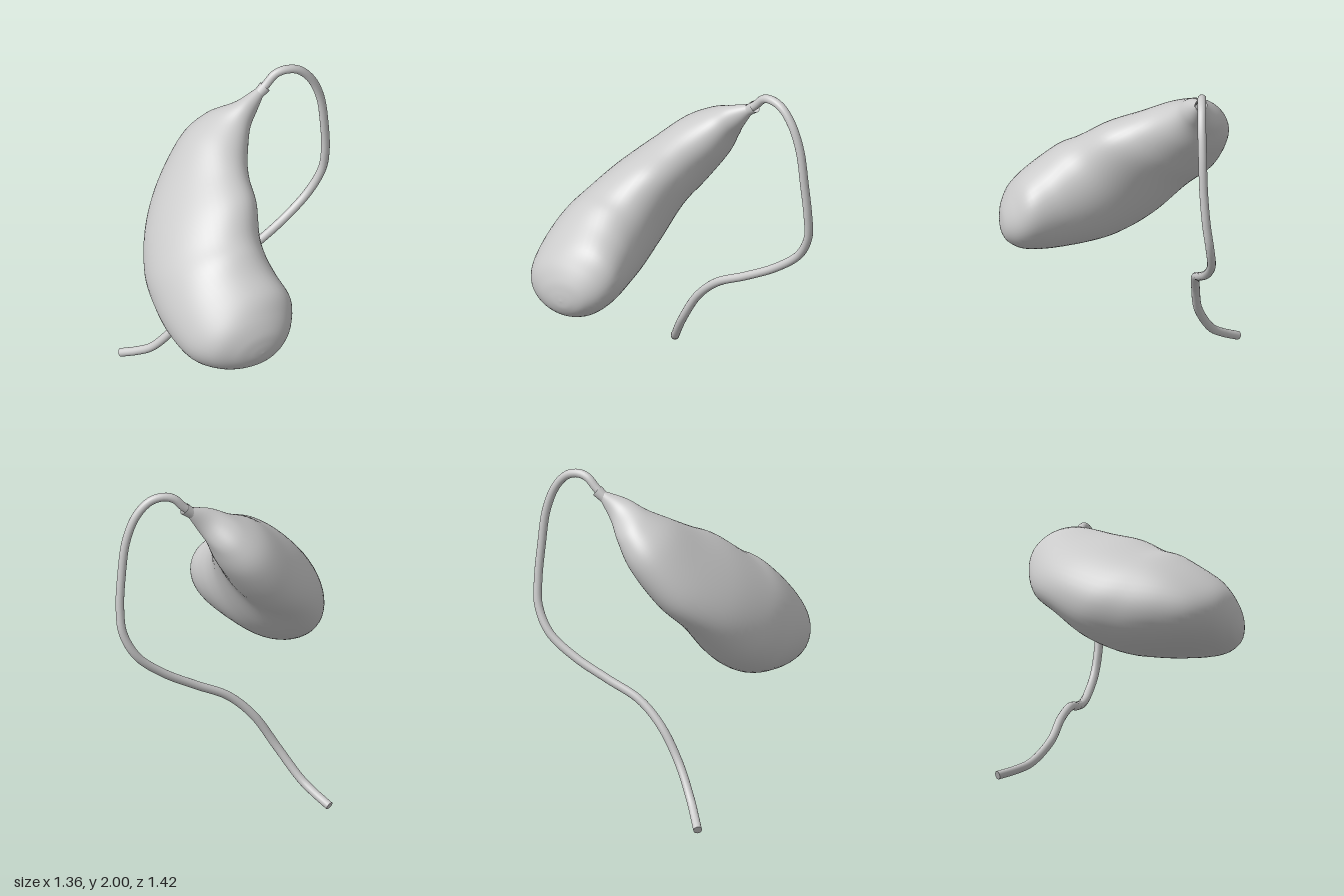
import * as THREE from 'three';

const V = (a) => new THREE.Vector3(...a);
const material = new THREE.MeshStandardMaterial({ color: 0xcccccc, side: THREE.DoubleSide });

// Each section is an ellipse: centre, outer half-axis, upper half-axis
const SECTIONS = [
  [[0.23, 1.865, -0.42], [0, 0, -0.03], [-0.018, 0.024, 0]],
  [[0.135, 1.79, -0.405], [-0.01, -0.01, -0.07], [-0.045, 0.06, 0.01]],
  [[0.035, 1.71, -0.43], [-0.06, -0.02, -0.14], [-0.075, 0.08, 0.04]],
  [[-0.07, 1.6, -0.395], [-0.12, -0.03, -0.19], [-0.09, 0.12, 0.1]],
  [[-0.185, 1.455, -0.295], [-0.205, -0.06, -0.18], [-0.045, 0.175, 0.175]],
  [[-0.275, 1.33, -0.14], [-0.275, -0.08, -0.14], [0, 0.215, 0.22]],
  [[-0.345, 1.17, 0.03], [-0.305, -0.065, -0.09], [0.02, 0.26, 0.22]],
  [[-0.36, 1.08, 0.19], [-0.315, -0.045, -0.04], [0.04, 0.298, 0.175]],
  [[-0.35, 1.02, 0.34], [-0.318, -0.03, 0], [0.06, 0.288, 0.125]],
  [[-0.32, 0.97, 0.5], [-0.308, -0.02, 0.01], [0.07, 0.25, 0.08]],
  [[-0.3, 0.935, 0.61], [-0.25, 0, 0.015], [0.05, 0.19, 0.04]],
  [[-0.28, 0.915, 0.675], [-0.16, 0, 0.008], [0.025, 0.12, 0.018]],
  [[-0.27, 0.91, 0.701], [-0.075, 0, 0.003], [0.01, 0.057, 0.005]],
  [[-0.27, 0.91, 0.708], [-0.001, 0, 0], [0, 0.001, 0]],
];

// Smooth skin lofted through the sections
function loft(sections, rings, sides) {
  const [centre, outer, upper] = [0, 1, 2].map(
    (k) => new THREE.CatmullRomCurve3(sections.map((s) => V(s[k])), false, 'catmullrom', 0.5));
  const pos = [], index = [];
  for (let i = 0; i <= rings; i++) {
    const t = i / rings;
    const c = centre.getPoint(t), a = outer.getPoint(t), b = upper.getPoint(t);
    for (let j = 0; j < sides; j++) {
      const ang = (j / sides) * Math.PI * 2;
      const p = c.clone().addScaledVector(a, Math.cos(ang)).addScaledVector(b, Math.sin(ang));
      pos.push(p.x, p.y, p.z);
      if (i === rings) continue;
      const p0 = i * sides + j, p1 = i * sides + ((j + 1) % sides);
      index.push(p0, p0 + sides, p1, p1, p0 + sides, p1 + sides);
    }
  }
  const g = new THREE.BufferGeometry();
  g.setAttribute('position', new THREE.Float32BufferAttribute(pos, 3));
  g.setIndex(index);
  g.computeVertexNormals();
  return g;
}

// Centre line of the long thin duct
const DUCT = [
  [0.21, 1.85, -0.42], [0.27, 1.9, -0.425], [0.33, 1.96, -0.425], [0.39, 1.976, -0.42],
  [0.47, 1.955, -0.415], [0.55, 1.87, -0.41], [0.61, 1.72, -0.41], [0.64, 1.5, -0.415],
  [0.653, 1.3, -0.43], [0.64, 1.15, -0.45], [0.56, 1.0, -0.465], [0.4, 0.87, -0.45],
  [0.2, 0.76, -0.425], [0, 0.66, -0.41], [-0.15, 0.52, -0.42], [-0.28, 0.32, -0.445],
  [-0.4, 0.14, -0.53], [-0.46, 0.08, -0.6], [-0.53, 0.025, -0.69],
].map(V);

export function createModel() {
  const model = new THREE.Group();
  const add = (name, geometry) => {
    const mesh = new THREE.Mesh(geometry, material);
    mesh.name = name;
    model.add(mesh);
    return mesh;
  };

  // Pear-shaped sac
  add('sac', loft(SECTIONS, 78, 48));

  // Winding duct
  const path = new THREE.CatmullRomCurve3(DUCT);
  const radius = 0.025;
  add('duct', new THREE.TubeGeometry(path, 140, radius, 16));

  // Flat end of the duct
  const cap = add('ductEnd', new THREE.CircleGeometry(radius, 16));
  cap.position.copy(path.getPoint(1));
  cap.quaternion.setFromUnitVectors(new THREE.Vector3(0, 0, 1), path.getTangent(1));

  // Short flared collar where the duct leaves the sac
  const collar = add('collar', new THREE.CylinderGeometry(0.036, 0.03, 0.07, 16, 1, true));
  collar.position.set(0.24, 1.868, -0.423);
  collar.quaternion.setFromUnitVectors(new THREE.Vector3(0, 1, 0), V([0.77, 0.63, -0.08]).normalize());

  return model;
}
